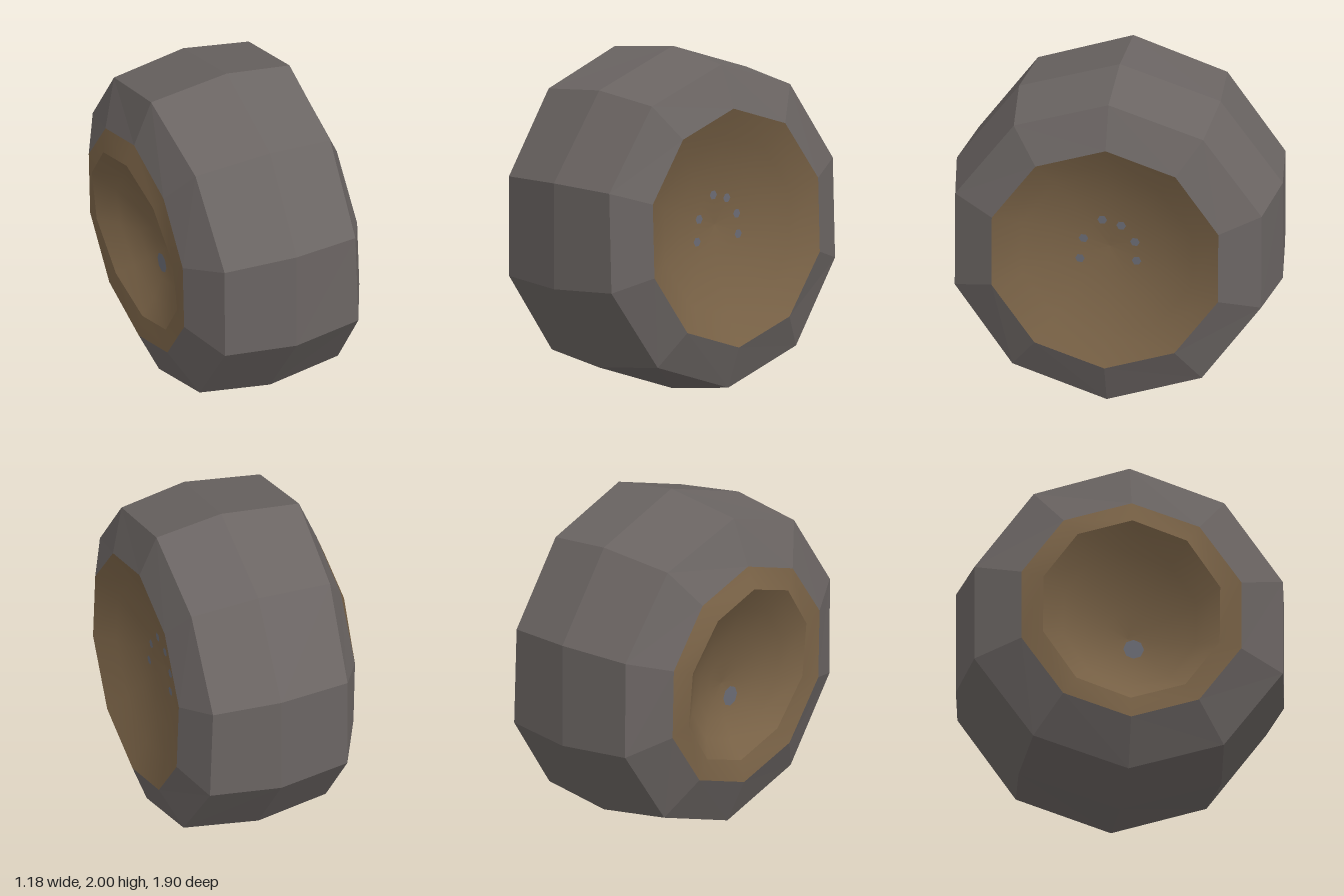
import * as THREE from 'three';

const SIDES = 10;
const rubber = new THREE.MeshStandardMaterial({ name: 'rubber', color: 0x6b6563 });
const hubBrown = new THREE.MeshStandardMaterial({ name: 'hubBrown', color: 0x7a6347 });
const boltGrey = new THREE.MeshStandardMaterial({ name: 'boltGrey', color: 0x6a6b74 });
rubber.flatShading = true;

// Skin over decagonal rings around the x axis, listed from +x to -x.
// Each ring is { r, x(cos, sin), dy } where dy shifts the ring's centre.
function loft(rings) {
  const pos = [], index = [];
  for (const { r, x, dy = 0 } of rings) {
    for (let k = 0; k < SIDES; k++) {
      const a = (k / SIDES) * Math.PI * 2, c = Math.cos(a), s = Math.sin(a);
      pos.push(x(c, s), 1 + dy + r * c, r * s);
    }
  }
  for (let i = 0; i < rings.length - 1; i++) {
    for (let k = 0; k < SIDES; k++) {
      const p = i * SIDES + k, p2 = i * SIDES + (k + 1) % SIDES;
      const q = p + SIDES, q2 = p2 + SIDES;
      if (rings[i].r > 0) index.push(p, q2, p2);
      if (rings[i + 1].r > 0) index.push(p, q, q2);
    }
  }
  const g = new THREE.BufferGeometry();
  g.setAttribute('position', new THREE.Float32BufferAttribute(pos, 3));
  g.setIndex(index);
  g.computeVertexNormals();
  return g;
}

// Slightly skewed edges of the tyre and hubs
const rimLeftX = (c) => 0.567 - 0.022 * c;
const rimRightX = (c) => -0.533 - 0.015 * c;
const lipX = (c, s) => -0.545 - 0.05 * c + 0.016 * s;
const treadLeftX = (c) => 0.44 + 0.06 * Math.max(0, -c);
const treadRightX = (c) => -0.39 - 0.05 * Math.max(0, c) ** 3;

const R_LEFT = 0.695, R_RIGHT = 0.67, R_LIP = 0.54;
const LEFT_DEPTH = 0.18, RIGHT_DEPTH = 0.2;
const steps = [0, 0.25, 0.5, 0.75, 1];

export function createModel() {
  const wheel = new THREE.Group();
  wheel.name = 'wheel';
  const add = (name, geo, mat) => {
    const m = new THREE.Mesh(geo, mat);
    m.name = name;
    wheel.add(m);
    return m;
  };

  // Tyre: sidewall, crowned tread, sidewall
  add('tyre', loft([
    { r: R_LEFT, x: rimLeftX },
    { r: 0.94, x: treadLeftX },
    { r: 1, x: () => 0.04 },
    { r: 0.94, x: treadRightX },
    { r: R_RIGHT, x: rimRightX },
  ]), rubber);

  // Left hub: shallow bowl
  add('leftHubBowl', loft(steps.map((t) => ({
    r: R_LEFT * t,
    x: (c) => 0.567 - 0.022 * c * t - LEFT_DEPTH * (1 - t * t),
  }))), hubBrown);

  // Right hub: tilted raised lip, then a hollow
  add('rightHubLip', loft([
    { r: R_RIGHT, x: rimRightX },
    { r: R_LIP, x: lipX },
  ]), hubBrown);
  add('rightHubHollow', loft(steps.slice().reverse().map((t) => ({
    r: R_LIP * t,
    dy: -0.1 * (1 - t),
    x: (c, s) => lipX(c * t, s * t) + RIGHT_DEPTH * (1 - t * t),
  }))), hubBrown);

  // Small bolt marks around the left hub centre: [y, z]
  for (const [y, z] of [[1.18, 0.04], [1.15, -0.07], [1.05, -0.15], [1.05, 0.15], [0.92, 0.17], [0.93, -0.16]]) {
    const t = Math.hypot(y - 1, z) / R_LEFT;
    const bolt = add('boltMark', new THREE.CircleGeometry(0.028, 6), boltGrey);
    bolt.position.set(0.567 - LEFT_DEPTH * (1 - t * t) + 0.018, y, z);
    bolt.rotation.y = Math.PI / 2;
  }

  // Single bolt mark in the right hollow
  const mark = add('rightBoltMark', new THREE.CircleGeometry(0.06, 8), boltGrey);
  mark.position.set(-0.385, 0.82, 0.03);
  mark.rotation.y = -Math.PI / 2;

  return wheel;
}
